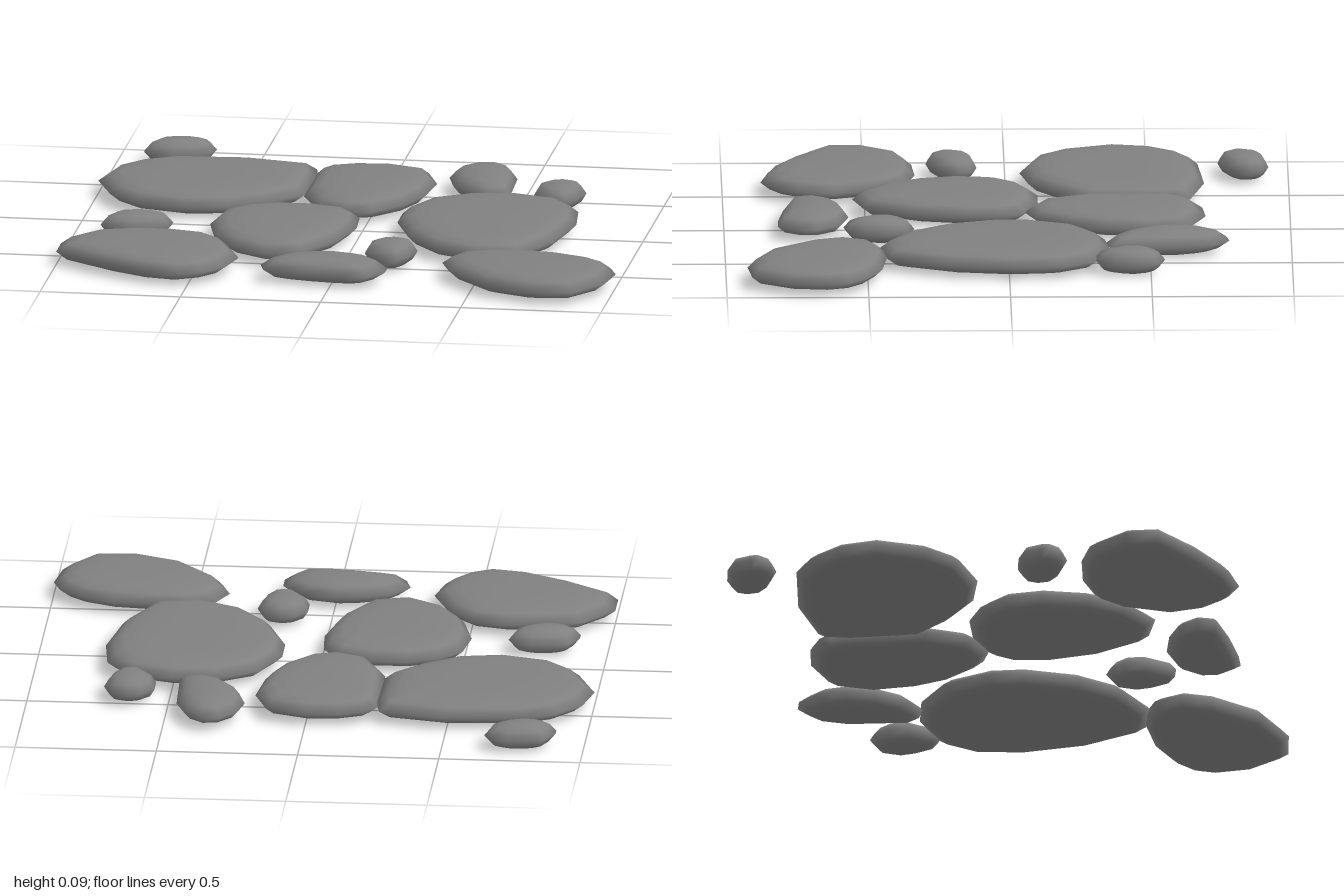
import * as THREE from 'three';

// Outlines as x,z pairs, running clockwise or anticlockwise
const OUTLINES = {
  backLeftSlab: [-1, -.38, -.97, -.52, -.89, -.62, -.78, -.68, -.49, -.7, -.26, -.65, -.24, -.55, -.25, -.29, -.36, -.17, -.49, -.08, -.65, -.05, -.83, -.1, -.93, -.2],
  backMiddleSlab: [-.25, -.27, -.25, -.6, -.22, -.65, -.13, -.69, 0, -.7, .14, -.65, .19, -.51, .17, -.34, .12, -.21, .02, -.09, -.07, -.06, -.18, -.11],
  rightSlab: [.13, .04, .13, -.09, .2, -.25, .34, -.34, .5, -.36, .66, -.31, .74, -.2, .76, -.02, .72, .22, .62, .43, .47, .46, .31, .38, .2, .24],
  centreSlab: [-.52, .16, -.5, .02, -.43, -.06, -.32, -.11, -.18, -.11, -.06, -.07, -.01, 0, 0, .14, -.04, .33, -.14, .51, -.27, .545, -.4, .46, -.48, .33],
  frontLeftSlab: [-1, .5, -.9, .37, -.78, .33, -.62, .32, -.5, .35, -.42, .43, -.35, .61, -.38, .74, -.44, .82, -.52, .865, -.65, .84, -.82, .75, -1, .62],
  frontRightSlab: [.37, .57, .41, .48, .5, .44, .6, .43, .78, .45, .9, .5, .97, .56, 1, .64, .98, .78, .89, .91, .74, .925, .56, .85, .41, .68],
  backRightStone: [.4, -.34, .33, -.38, .25, -.49, .22, -.6, .24, -.7, .3, -.77, .36, -.78, .42, -.73, .46, -.62, .47, -.36],
  frontStone: [-.26, .69, -.21, .62, -.12, .58, 0, .56, .12, .59, .19, .67, .19, .74, .14, .81, .06, .81, -.1, .79, -.24, .76],
  widePebble: [-.9, -.83, -.87, -.9, -.82, -.92, -.73, -.93, -.67, -.91, -.65, -.87, -.66, -.82, -.71, -.78, -.79, -.75, -.86, -.76, -.9, -.8],
  tallPebble: [.62, -.3, .55, -.4, .55, -.48, .59, -.53, .64, -.55, .7, -.53, .73, -.46, .71, -.37, .68, -.31]
};

const MID = 0.053;
const HALF = 0.047;

// Flattened pebble: shrinking rings of the outline above and below the rim
function stoneGeometry(flat) {
  const pts = [];
  for (let i = 0; i < flat.length; i += 2) pts.push(new THREE.Vector2(flat[i], flat[i + 1]));
  // Angle always increases from +z towards +x
  if (THREE.ShapeUtils.isClockWise(pts) === false) pts.reverse();
  const n = pts.length;
  const box = new THREE.Box2().setFromPoints(pts);
  const c = box.getCenter(new THREE.Vector2());
  const size = box.getSize(new THREE.Vector2());
  const radius = (size.x + size.y) / 4;

  // Inset distance and height fraction, from rim to crown
  const steps = [[0.035, 0.6], [0.075, 0.82], [0.15, 0.95]]
    .map(([inset, h]) => [Math.max(1 - inset / radius, 1 - 1.6 * (1 - Math.sqrt(1 - h * h)) * 0.6), h]);
  const rings = [
    ...steps.map(([s, h]) => [s, -h]).reverse(),
    [1, 0],
    ...steps
  ];

  const pos = [], index = [];
  for (const [s, h] of rings) {
    for (const p of pts) pos.push(c.x + (p.x - c.x) * s, MID + HALF * h, c.y + (p.y - c.y) * s);
  }
  const bottom = rings.length * n, top = bottom + 1;
  pos.push(c.x, MID - HALF, c.y, c.x, MID + HALF, c.y);

  for (let i = 0; i < n; i++) {
    const j = (i + 1) % n;
    for (let r = 0; r < rings.length - 1; r++) {
      const a = r * n + i, b = r * n + j;
      index.push(a, b, b + n, a, b + n, a + n);
    }
    const last = (rings.length - 1) * n;
    index.push(bottom, j, i, top, last + i, last + j);
  }

  const g = new THREE.BufferGeometry();
  g.setAttribute('position', new THREE.Float32BufferAttribute(pos, 3));
  g.setIndex(index);
  g.computeVertexNormals();
  return g;
}

export function createModel() {
  const group = new THREE.Group();
  group.name = 'steppingStones';
  const stone = new THREE.MeshStandardMaterial({ color: 0x808080 });
  stone.name = 'stone grey';

  const add = (name, outline, dx = 0, dz = 0) => {
    const mesh = new THREE.Mesh(stoneGeometry(OUTLINES[outline]), stone);
    mesh.name = name;
    mesh.position.set(dx, 0, dz);
    group.add(mesh);
  };

  for (const name of Object.keys(OUTLINES)) add(name, name);

  // Repeated pebbles
  add('leftPebble', 'widePebble', 0, 1.03);
  add('frontPebble', 'tallPebble', -0.47, 0.88);
  return group;
}
